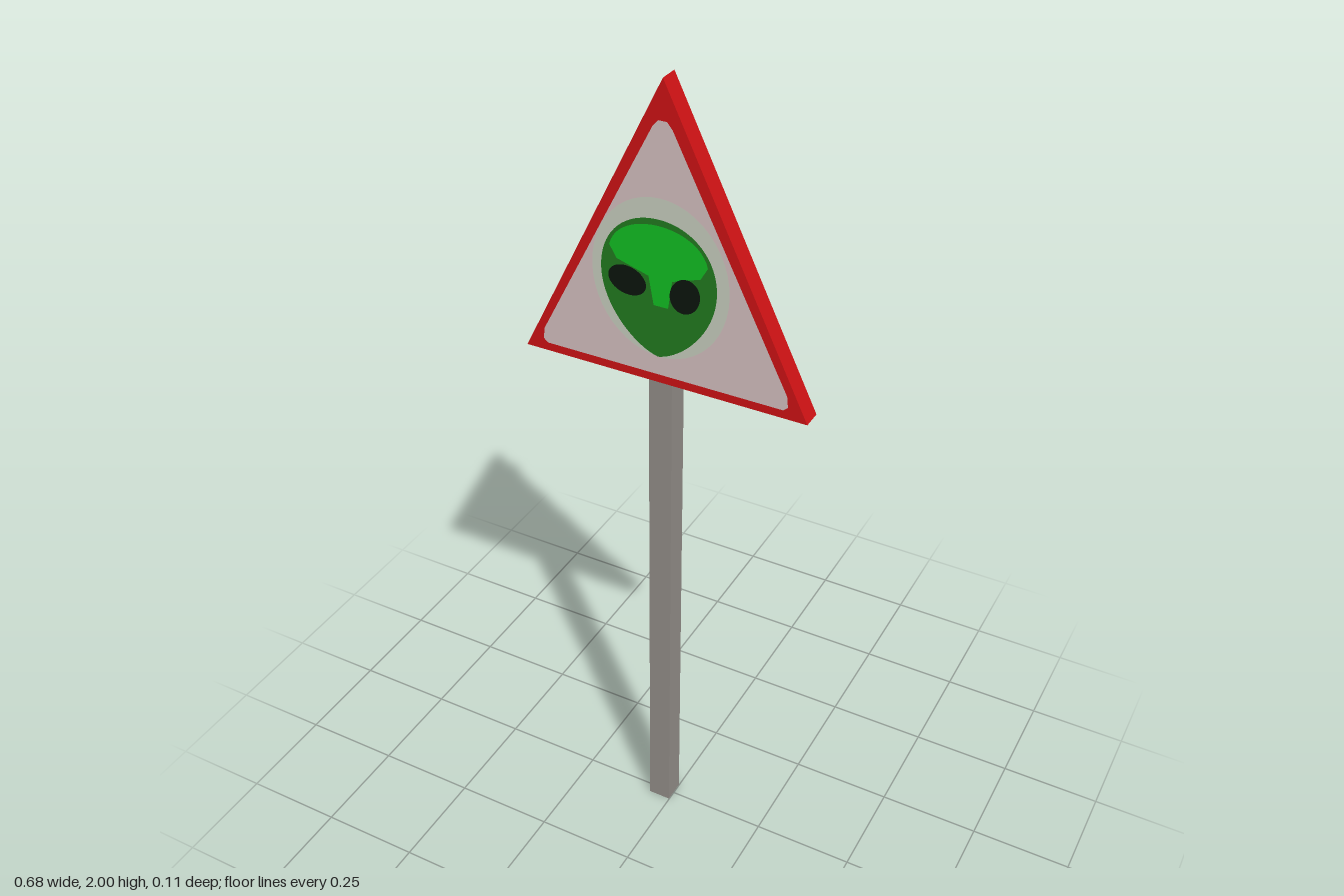
import * as THREE from 'three';

const mat = (name, color) => Object.assign(new THREE.MeshStandardMaterial({ color }), { name });

export function createModel() {
  const group = new THREE.Group();
  group.name = 'warningSign';
  const red = mat('signal red', 0xcc1214);
  const grey = mat('post grey', 0x918c87);
  const white = mat('dusty white', 0xd3bfbf);
  const halo = mat('pale green halo', 0xc6cdbd);
  const green = mat('bright green', 0x12bd22);
  const darkGreen = mat('dark green', 0x21791f);
  const black = mat('eye black', 0x0b140c);

  // The whole sign leans back slightly: shear z along the height
  const add = (name, geometry, material) => {
    const g = geometry.index ? geometry.toNonIndexed() : geometry;
    const p = g.attributes.position;
    for (let i = 0; i < p.count; i++) p.setZ(i, p.getZ(i) - 0.0142 * p.getY(i));
    g.computeVertexNormals();
    const mesh = new THREE.Mesh(g, material);
    mesh.name = name;
    group.add(mesh);
  };
  const polygon = (pts) => new THREE.Shape(pts.map(([x, y]) => new THREE.Vector2(x, y)));
  const ellipse = (x, y, rx, ry, turn = 0) =>
    new THREE.Shape().absellipse(x, y, rx, ry, 0, Math.PI * 2, false, turn);

  // Square post
  add('post', new THREE.BoxGeometry(0.057, 1.838, 0.056).translate(-0.0295, 0.919, -0.003), grey);

  // Triangular board
  const board = polygon([[-0.34, 1.323], [0.34, 1.323], [0, 2]]);
  add('board', new THREE.ExtrudeGeometry(board, { depth: 0.046, bevelEnabled: false }).translate(0, 0, 0.0255), red);

  // Painted layers, each a hair in front of the one below
  const paint = (name, shape, material, layer) =>
    add(name, new THREE.ShapeGeometry(shape, 24).translate(0, 0, 0.0715 + layer * 0.0011), material);

  paint('whitePanel', polygon([[-0.285, 1.343], [0.285, 1.343], [0.295, 1.352], [0.292, 1.378],
    [0.022, 1.9], [0.01, 1.914], [-0.01, 1.914], [-0.022, 1.9], [-0.292, 1.378], [-0.295, 1.352]]), white, 1);
  paint('headHalo', ellipse(-0.005, 1.57, 0.16, 0.182), halo, 2);

  // Head: broad dome tapering to a small chin
  const head = new THREE.Shape();
  head.moveTo(-0.008, 1.388);
  head.bezierCurveTo(0.05, 1.4, 0.127, 1.48, 0.127, 1.57);
  head.bezierCurveTo(0.127, 1.65, 0.07, 1.706, -0.008, 1.706);
  head.bezierCurveTo(-0.086, 1.706, -0.143, 1.65, -0.143, 1.57);
  head.bezierCurveTo(-0.143, 1.48, -0.066, 1.4, -0.008, 1.388);
  paint('head', head, darkGreen, 3);

  // Bright forehead running down into the nose
  const brow = new THREE.Shape();
  brow.moveTo(-0.122, 1.625);
  brow.bezierCurveTo(-0.1, 1.715, 0.085, 1.715, 0.106, 1.625);
  brow.lineTo(0.09, 1.597);
  brow.lineTo(0.025, 1.575);
  brow.lineTo(0.016, 1.51);
  brow.lineTo(-0.018, 1.51);
  brow.lineTo(-0.03, 1.575);
  brow.lineTo(-0.105, 1.597);
  brow.closePath();
  paint('forehead', brow, green, 4);

  // Eyes
  paint('rightEye', ellipse(-0.08, 1.553, 0.045, 0.033, -0.15), black, 5);
  paint('leftEye', ellipse(0.055, 1.548, 0.041, 0.034, 1.2), black, 5);

  return group;
}
